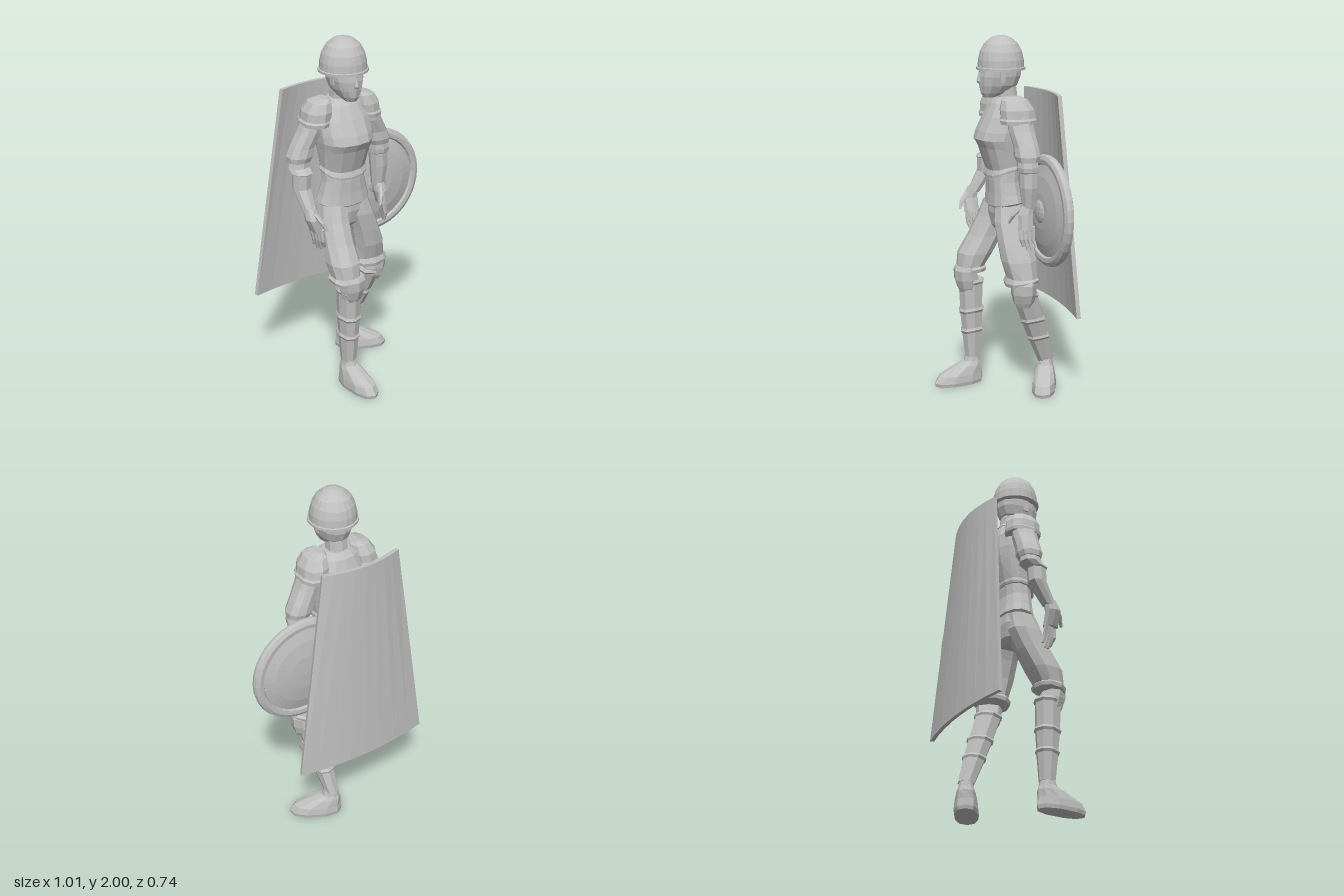
import * as THREE from 'three';

const CX = -0.1; // the body's mirror plane
const steel = new THREE.MeshStandardMaterial({ color: 0xc0c0c0, flatShading: true });
steel.name = 'plain grey';

function add(parent, name, geometry) {
  const mesh = new THREE.Mesh(geometry, steel);
  mesh.name = name;
  parent.add(mesh);
  return mesh;
}

// Closed skin over rings [x, y, z, halfWidth, halfDepth, frontDip], listed from top to bottom
function loft(rings, sides = 10, power = 0.85) {
  const pos = [], idx = [];
  const pow = v => Math.sign(v) * Math.abs(v) ** power;
  for (const [x, y, z, rx, rz, dip = 0] of rings) {
    for (let i = 0; i < sides; i++) {
      const a = (i / sides) * Math.PI * 2;
      pos.push(x + rx * pow(Math.sin(a)), y - dip * Math.max(0, Math.cos(a)), z + rz * pow(Math.cos(a)));
    }
  }
  for (let r = 0; r < rings.length - 1; r++) {
    for (let i = 0; i < sides; i++) {
      const j = (i + 1) % sides, u = r * sides, l = u + sides;
      idx.push(u + i, l + i, l + j, u + i, l + j, u + j);
    }
  }
  const first = rings[0], last = rings[rings.length - 1];
  const top = pos.length / 3, base = (rings.length - 1) * sides;
  pos.push(first[0], first[1], first[2], last[0], last[1], last[2]);
  for (let i = 0; i < sides; i++) {
    const j = (i + 1) % sides;
    idx.push(top, i, j, top + 1, base + j, base + i);
  }
  const g = new THREE.BufferGeometry();
  g.setAttribute('position', new THREE.Float32BufferAttribute(pos, 3));
  g.setIndex(idx);
  g.computeVertexNormals();
  return g;
}

// Ring on the body's centre from [y, front z, back z, half width, dip]
const bodyRing = ([y, f, b, w, dip]) => [CX, y, (f + b) / 2, w, (f - b) / 2, dip];

function buildHead(g) {
  add(g, 'head', loft([
    [1.84, 0.10, -0.13, 0.09], [1.78, 0.11, -0.13, 0.088], [1.73, 0.107, -0.11, 0.075],
    [1.69, 0.1, -0.06, 0.052], [1.665, 0.085, 0.02, 0.03]].map(bodyRing), 12));
  add(g, 'neck', loft([[1.75, 0.01, -0.1, 0.055], [1.6, 0.01, -0.12, 0.06]].map(bodyRing)));
  add(g, 'nose', loft([[CX, 1.8, 0.105, 0.007, 0.01], [CX, 1.755, 0.108, 0.015, 0.018], [CX, 1.742, 0.105, 0.011, 0.012]], 6));
  for (const s of [-1, 1]) {
    add(g, 'ear', new THREE.BoxGeometry(0.012, 0.065, 0.03)).position.set(CX + s * 0.083, 1.785, 0.005);
  }
  // Rounded helmet with a narrow rim
  const profile = [[0.1, 1.815], [0.136, 1.815], [0.136, 1.828], [0.128, 1.83], [0.126, 1.87], [0.115, 1.915],
    [0.092, 1.957], [0.055, 1.988], [0.025, 1.998], [0, 2]];
  add(g, 'helmet', new THREE.LatheGeometry(profile.map(p => new THREE.Vector2(...p)), 20)).position.set(CX, 0, -0.018);
}

function buildTorso(g) {
  add(g, 'breastplate', loft([
    [1.665, 0.01, -0.11, 0.065], [1.63, 0.035, -0.14, 0.11], [1.56, 0.075, -0.165, 0.15],
    [1.48, 0.115, -0.17, 0.155], [1.435, 0.13, -0.165, 0.152], [1.39, 0.105, -0.155, 0.145],
    [1.29, 0.06, -0.125, 0.13, 0.03], [1.275, 0.07, -0.125, 0.138, 0.045],
    [1.262, 0.068, -0.12, 0.136, 0.045]].map(bodyRing), 14));
  add(g, 'collar', loft([[1.665, 0.02, -0.115, 0.075], [1.635, 0.045, -0.14, 0.11]].map(bodyRing), 14));
  add(g, 'tunicSkirt', loft([
    [1.28, 0.05, -0.115, 0.12], [1.2, 0.055, -0.11, 0.125], [1.13, 0.055, -0.12, 0.142],
    [1.085, 0.06, -0.13, 0.158, 0.025], [1.075, 0.05, -0.12, 0.15, 0.025]].map(bodyRing), 14));
  add(g, 'hips', loft([[1.1, 0.05, -0.12, 0.145], [1.02, 0.055, -0.13, 0.15], [0.945, 0.04, -0.12, 0.11],
    [0.92, 0.02, -0.09, 0.07]].map(bodyRing), 12));
}

// s is -1 for the right side and 1 for the left
function buildArm(g, s, elbowZ, wristZ, handD) {
  const at = (d, y, z, rx, rz) => [CX + s * d, y, z, rx, rz];
  // Shoulder plate sloping outward, with a lip along its lower edge
  add(g, 'shoulderPlate', loft([
    at(0.11, 1.678, -0.04, 0.022, 0.045), at(0.135, 1.66, -0.045, 0.058, 0.075), at(0.15, 1.61, -0.052, 0.076, 0.098),
    at(0.157, 1.565, -0.055, 0.074, 0.1), at(0.16, 1.555, -0.055, 0.081, 0.106), at(0.162, 1.535, -0.055, 0.078, 0.102)]));
  add(g, 'sleeve', loft([
    at(0.165, 1.6, -0.055, 0.05, 0.07), at(0.195, 1.5, -0.06, 0.062, 0.072),
    at(0.235, 1.42, elbowZ, 0.066, 0.068), at(0.25, 1.37, elbowZ, 0.074, 0.07), at(0.257, 1.34, elbowZ, 0.064, 0.06)]));
  const mid = (elbowZ * 2 + wristZ) / 3;
  add(g, 'forearm', loft([
    at(0.25, 1.39, elbowZ, 0.05, 0.05), at(0.262, 1.31, elbowZ, 0.06, 0.06), at(0.262, 1.285, mid, 0.058, 0.058),
    at(0.262, 1.28, mid, 0.05, 0.052), at(0.267, 1.2, mid, 0.05, 0.05), at(0.262, 1.08, wristZ, 0.034, 0.036)], 8));
  // Palm, four slightly curled fingers and a thumb
  const palmZ = wristZ + 0.02, knuckleD = (0.26 + handD) / 2;
  add(g, 'palm', loft([at(0.262, 1.11, wristZ, 0.03, 0.033), at(0.265, 1.05, palmZ, 0.034, 0.045),
    at(knuckleD, 0.97, palmZ, 0.027, 0.045)], 8));
  for (let i = 0; i < 4; i++) {
    const o = i - 1.5, z = palmZ + o * 0.021, len = 0.14 - Math.abs(o) * 0.018;
    const d = knuckleD - o * 0.01;
    add(g, 'finger', loft([at(d, 0.985, z, 0.014, 0.013), at((d + handD) / 2, 0.915, z, 0.013, 0.012),
      at(handD - o * 0.01, 0.985 - len, z - 0.012, 0.007, 0.007)], 6));
  }
  add(g, 'thumb', loft([at(0.255, 1.085, palmZ + 0.02, 0.014, 0.016), at(0.235, 1.04, palmZ + 0.06, 0.014, 0.014),
    at(0.215, 0.995, palmZ + 0.078, 0.007, 0.008)], 6));
}

function buildLeg(g, thigh, knee, ankle, heading) {
  // Full trouser leg ending in a raised hem
  const [hx, hy, hz, hrx, hrz] = thigh[thigh.length - 1];
  add(g, 'trouserLeg', loft([...thigh, [hx, hy - 0.01, hz, hrx + 0.013, hrz + 0.013, 0.02],
    [hx, hy - 0.03, hz, hrx + 0.008, hrz + 0.008, 0.02], [hx, hy - 0.032, hz, hrx - 0.025, hrz - 0.025]]));
  // Knee plate turned the same way as the foot
  const [kx, ky, kz] = knee;
  const plate = add(g, 'kneePlate', loft([[0, 0.075, 0.03, 0.068, 0.055], [0, 0.055, 0.035, 0.072, 0.062],
    [0, 0, 0.025, 0.071, 0.07], [0, -0.05, 0.02, 0.06, 0.058], [0, -0.08, 0.02, 0.04, 0.045]], 8));
  plate.position.set(kx, ky, kz);
  plate.rotation.y = heading;
  // Greave in three lengths, each starting with a small ridge
  const stops = [0, 0.36, 0.62, 1], widths = [0.064, 0.06, 0.053, 0.04];
  const at = (t, r) => [kx + (ankle[0] - kx) * t, ky + (ankle[1] - ky) * t, kz + (ankle[2] - kz) * t, r, r * 1.12];
  for (let i = 0; i < 3; i++) {
    const a = stops[i], b = stops[i + 1];
    add(g, 'greave', loft([at(a, widths[i] + 0.002), at(a + 0.03, widths[i] + 0.008),
      at(a + 0.06, widths[i]), at(b + 0.01, widths[i + 1])].map(r => [...r, 0.012]), 8));
  }
  const foot = new THREE.Group();
  foot.name = 'foot';
  foot.position.set(ankle[0], 0, ankle[2]);
  foot.rotation.y = heading;
  g.add(foot);
  add(foot, 'boot', loft([[0, 0.18, 0, 0.034, 0.036], [0, 0.13, 0.005, 0.042, 0.05], [0, 0.105, 0.03, 0.053, 0.085],
    [0, 0.06, 0.08, 0.064, 0.135], [0, 0.02, 0.09, 0.068, 0.152], [0, 0, 0.09, 0.064, 0.148]], 10));
}

function buildShield(g) {
  // Lens-shaped disc with a raised rim on both faces
  const profile = [[0, 0.05], [0.1, 0.046], [0.19, 0.033], [0.255, 0.014], [0.262, 0.026], [0.285, 0.028], [0.305, 0.018], [0.31, 0]];
  const back = profile.slice(0, -1).reverse().map(([r, h]) => [r, -h]);
  const points = [...profile, ...back].reverse().map(p => new THREE.Vector2(...p));
  const shield = new THREE.Group();
  shield.name = 'shield';
  shield.position.set(0.195, 1.066, -0.173);
  g.add(shield);
  add(shield, 'shieldDisc', new THREE.LatheGeometry(points, 32)).rotation.x = Math.PI / 2;
  const boss = add(shield, 'shieldBoss', new THREE.SphereGeometry(0.068, 12, 8));
  boss.position.z = 0.04;
  boss.scale.z = 0.35;
}

function buildCape(g) {
  // Stiff board that widens downward, leans back and curves around the body
  const geo = new THREE.BoxGeometry(2, 1, 1, 8, 1, 1), p = geo.attributes.position;
  for (let i = 0; i < p.count; i++) {
    const u = p.getX(i), t = 0.5 - p.getY(i), front = p.getZ(i) + 0.5;
    const halfWidth = 0.24 + 0.17 * t - front * 0.006;
    p.setXYZ(i, CX + u * halfWidth, 1.68 - 1.22 * t, -0.321 - 0.052 * t + 0.043 * u * u + front * 0.022);
  }
  geo.computeVertexNormals();
  add(g, 'cape', geo);
}

export function createModel() {
  const g = new THREE.Group();
  g.name = 'armouredFigure';
  buildHead(g);
  buildTorso(g);
  buildArm(g, -1, -0.065, 0.05, 0.21);
  buildArm(g, 1, -0.07, -0.075, 0.3);
  // Right leg steps forward, left leg trails with the knee and foot turned out
  buildLeg(g, [[-0.17, 1.07, -0.03, 0.08, 0.085], [-0.182, 0.98, -0.01, 0.085, 0.1], [-0.19, 0.87, 0.045, 0.085, 0.1],
    [-0.193, 0.77, 0.105, 0.092, 0.1], [-0.192, 0.695, 0.135, 0.08, 0.078]], [-0.175, 0.62, 0.14], [-0.172, 0.16, 0.13], 0.1);
  buildLeg(g, [[-0.03, 1.07, -0.04, 0.08, 0.085], [0, 0.98, -0.04, 0.082, 0.1], [0.04, 0.87, -0.045, 0.085, 0.1],
    [0.07, 0.77, -0.055, 0.094, 0.1], [0.085, 0.675, -0.065, 0.098, 0.082]], [0.105, 0.59, -0.075], [0.045, 0.16, -0.235], 1.08);
  buildShield(g);
  buildCape(g);
  return g;
}
